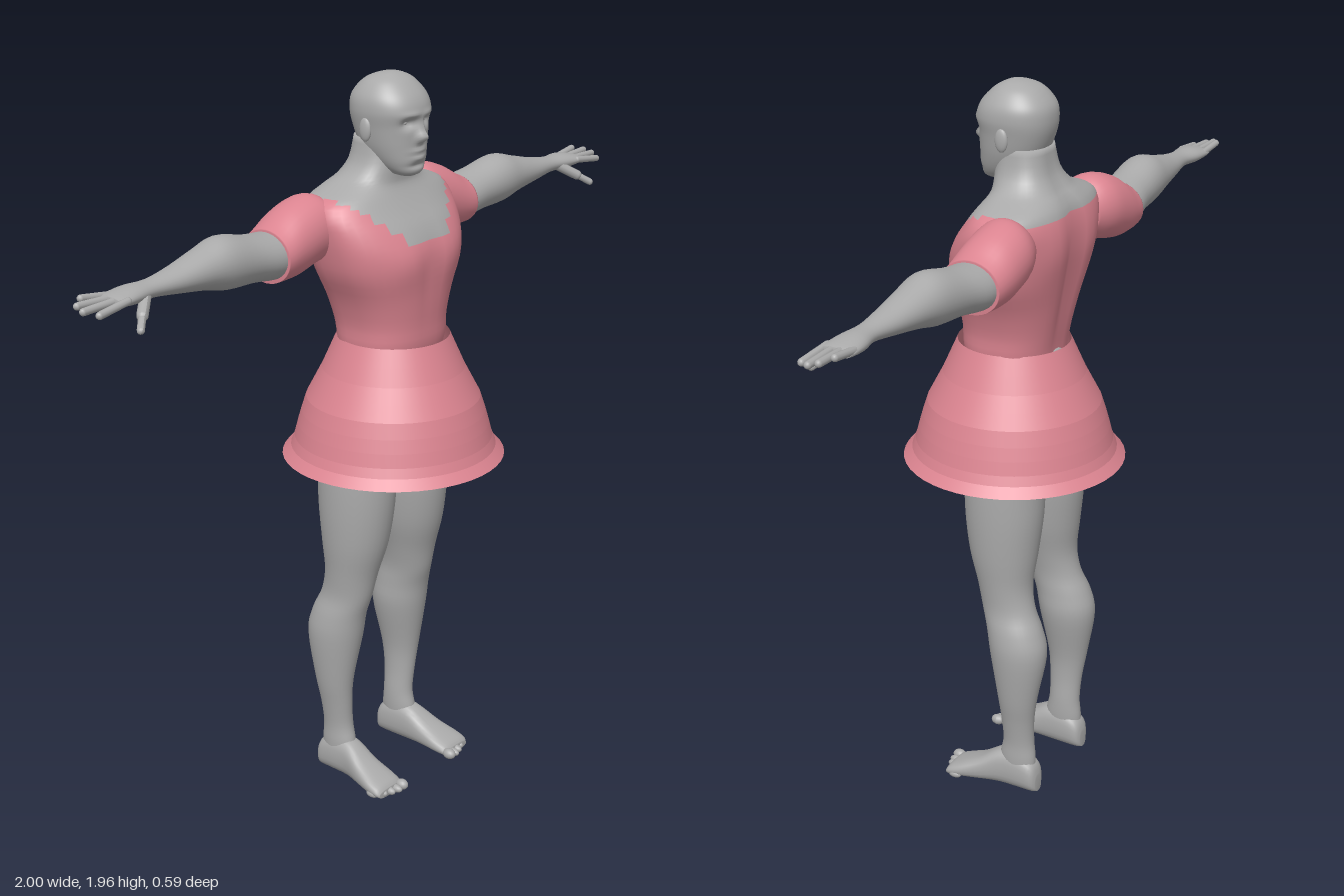
import * as THREE from 'three';

const skin = new THREE.MeshStandardMaterial({ color: 0xaaaaaa });
skin.name = 'grey skin';
const cloth = new THREE.MeshStandardMaterial({ color: 0xdb8490, side: THREE.DoubleSide });
cloth.name = 'pink cloth';

const bump = (dx, dy, wx, wy) => Math.exp(-((dx / wx) ** 2) - (dy / wy) ** 2);
const power = (v, p) => Math.sign(v) * Math.abs(v) ** p;

// Smooth interpolation through a list of section rows
function sampleRow(rows, t) {
  const f = t * (rows.length - 1), i = Math.min(Math.floor(f), rows.length - 2), k = f - i;
  const a = rows[Math.max(i - 1, 0)], b = rows[i], c = rows[i + 1], d = rows[Math.min(i + 2, rows.length - 1)];
  return b.map((v, n) => v + 0.5 * k * (c[n] - a[n] + k * (2 * a[n] - 5 * v + 4 * c[n] - d[n] + k * (3 * (v - c[n]) + d[n] - a[n]))));
}

// Closed skin over cross-sections; place(row, cos, sin) returns a point
function loft(rows, place, nu = 32, perRow = 4) {
  const nv = (rows.length - 1) * perRow, pos = [], index = [];
  for (let j = 0; j <= nv; j++) {
    const row = sampleRow(rows, j / nv);
    for (let i = 0; i < nu; i++) {
      const a = (i / nu) * Math.PI * 2;
      pos.push(...place(row, Math.cos(a), Math.sin(a)));
    }
  }
  for (let j = 0; j < nv; j++) for (let i = 0; i < nu; i++) {
    const a = j * nu + i, b = j * nu + (i + 1) % nu;
    index.push(a, a + nu, b, b, a + nu, b + nu);
  }
  for (const [start, top] of [[0, false], [nv * nu, true]]) {
    const mid = [0, 0, 0], m = pos.length / 3;
    for (let i = 0; i < nu * 3; i++) mid[i % 3] += pos[start * 3 + i] / nu;
    pos.push(...mid);
    for (let i = 0; i < nu; i++) {
      const a = start + i, b = start + (i + 1) % nu;
      index.push(...(top ? [a, m, b] : [a, b, m]));
    }
  }
  // Turn the faces outward
  let volume = 0;
  const p = n => new THREE.Vector3().fromArray(pos, n * 3);
  for (let i = 0; i < index.length; i += 3) volume += p(index[i]).dot(p(index[i + 1]).cross(p(index[i + 2])));
  const g = new THREE.BufferGeometry();
  g.setAttribute('position', new THREE.Float32BufferAttribute(pos, 3));
  g.setIndex(volume < 0 ? index.reverse() : index);
  g.computeVertexNormals();
  return g;
}

function mirrored(geometry) {
  const g = geometry.clone().scale(-1, 1, 1);
  g.setIndex(Array.from(g.index.array).reverse());
  g.computeVertexNormals();
  return g;
}

// Rounded rod from a to b
function rod(a, b, r) {
  const s = new THREE.Vector3(...a), e = new THREE.Vector3(...b), d = e.clone().sub(s);
  const q = new THREE.Quaternion().setFromUnitVectors(new THREE.Vector3(0, 1, 0), d.clone().normalize());
  return new THREE.CapsuleGeometry(r, d.length(), 5, 10).applyQuaternion(q).translate(...s.add(e).multiplyScalar(0.5).toArray());
}

const ball = (x, y, z, rx, ry, rz) => new THREE.SphereGeometry(1, 16, 12).scale(rx, ry, rz).translate(x, y, z);

export function createModel() {
  const model = new THREE.Group();
  const add = (name, geometry, material) => {
    const m = new THREE.Mesh(geometry, material);
    m.name = name;
    model.add(m);
  };
  const addPair = (name, geometry, material) => {
    add('left' + name, geometry, material);
    add('right' + name, mirrored(geometry), material);
  };

  // Torso rows: y, half width, front z, back z
  const torso = loft([
    [1.24, 0.138, 0.11, -0.125], [1.28, 0.145, 0.118, -0.13], [1.33, 0.148, 0.12, -0.14],
    [1.40, 0.17, 0.127, -0.155], [1.47, 0.205, 0.133, -0.17], [1.53, 0.222, 0.128, -0.18],
    [1.58, 0.232, 0.105, -0.182], [1.62, 0.235, 0.075, -0.178], [1.655, 0.215, 0.05, -0.168],
    [1.68, 0.155, 0.036, -0.152], [1.70, 0.115, 0.034, -0.135], [1.74, 0.086, 0.036, -0.112],
    [1.80, 0.076, 0.03, -0.098],
  ], ([y, w, f, b], c, s) => {
    const x = w * power(c, 0.85);
    let z = (f + b) / 2 + ((f - b) / 2) * power(s, 0.8);
    if (s > 0) z += s * (0.008 * bump(Math.abs(x) - 0.09, y - 1.5, 0.06, 0.05) - 0.008 * bump(x, y - 1.48, 0.02, 0.1));
    else z -= s * (0.02 * bump(x, y - 1.5, 0.03, 0.2) - 0.006 * bump(Math.abs(x) - 0.1, y - 1.56, 0.05, 0.07));
    return [x, y, z];
  }, 40, 3);
  // Stepped neckline: whole faces below it are cloth, the rest skin
  const p = torso.attributes.position, idx = Array.from(torso.index.array), below = [], above = [];
  for (let i = 0; i < idx.length; i += 6) {
    const face = idx.slice(i, i + 6);
    const mean = k => face.reduce((t, v) => t + p.array[v * 3 + k], 0) / 6;
    const x = Math.abs(mean(0)), edge = mean(2) > -0.06 ? 1.54 + Math.max(0, x - 0.06) * 0.9 : 1.645;
    (mean(1) < edge ? below : above).push(...face);
  }
  torso.setIndex([...below, ...above]);
  torso.addGroup(0, below.length, 0);
  torso.addGroup(below.length, above.length, 1);
  add('bodiceAndNeck', torso, [cloth, skin]);

  // Skirt: banded flare, open at the bottom
  const flare = [[0.295, 0.95], [0.272, 0.975], [0.262, 1.0], [0.253, 1.035], [0.243, 1.07], [0.23, 1.11],
    [0.209, 1.15], [0.188, 1.19], [0.168, 1.235], [0.148, 1.28]].map(q => new THREE.Vector2(...q));
  for (let i = 0; i < flare.length - 1; i++) add('skirtBand' + (i + 1), new THREE.LatheGeometry([flare[i], flare[i + 1]], 48), cloth);

  // Hips: y, half width, front z, back z
  add('hips', loft([[0.94, 0.05, 0.04, -0.08], [0.98, 0.13, 0.075, -0.12], [1.05, 0.17, 0.09, -0.145],
    [1.15, 0.165, 0.1, -0.145], [1.27, 0.138, 0.11, -0.125]],
  ([y, w, f, b], c, s) => [w * c, y, (f + b) / 2 + (f - b) / 2 * s]), skin);

  // Legs: y, inner x, outer x, front z, back z
  addPair('Leg', loft([
    [0.06, 0.1, 0.163, -0.035, -0.14], [0.1, 0.096, 0.165, -0.035, -0.14], [0.15, 0.096, 0.165, -0.045, -0.135],
    [0.22, 0.1, 0.175, -0.043, -0.138], [0.3, 0.095, 0.19, -0.035, -0.15], [0.43, 0.068, 0.205, -0.012, -0.172],
    [0.5, 0.068, 0.2, 0, -0.158], [0.56, 0.068, 0.187, 0.018, -0.132], [0.63, 0.055, 0.19, 0.033, -0.12],
    [0.72, 0.032, 0.2, 0.058, -0.13], [0.83, 0.016, 0.206, 0.073, -0.142], [0.95, 0.008, 0.205, 0.077, -0.147],
    [1.05, 0.004, 0.195, 0.08, -0.165], [1.13, 0.02, 0.165, 0.06, -0.14],
  ], ([y, a, b, f, k], c, s) => [(a + b) / 2 + (b - a) / 2 * c, y, (f + k) / 2 + (f - k) / 2 * s]), skin);

  // Feet: z, centre x, half width, height
  addPair('Foot', loft([
    [-0.152, 0.13, 0.016, 0.05], [-0.14, 0.13, 0.032, 0.085], [-0.1, 0.13, 0.037, 0.11], [-0.04, 0.132, 0.038, 0.108],
    [0.02, 0.14, 0.046, 0.072], [0.07, 0.145, 0.053, 0.048], [0.1, 0.147, 0.052, 0.034], [0.112, 0.147, 0.045, 0.022],
  ], ([z, x, w, h], c, s) => [x + w * power(c, 0.8), h / 2 + h / 2 * power(s, 0.8), z], 24), skin);
  for (let i = 0; i < 5; i++) {
    const r = i ? 0.011 : 0.015;
    addPair('Toe' + (i + 1), ball(0.106 + i * 0.021, r, 0.118 - i * i * 0.0022, r, r, 0.02), skin);
  }

  // Sleeves and arms: x, centre y, centre z, half height, half depth
  const alongX = ([x, y, z, h, d], c, s) => [x, y + h * s, z + d * c];
  addPair('Sleeve', loft([
    [0.16, 1.585, -0.09, 0.06, 0.065], [0.2, 1.588, -0.095, 0.083, 0.08], [0.24, 1.584, -0.1, 0.089, 0.085],
    [0.3, 1.567, -0.1, 0.087, 0.086], [0.35, 1.552, -0.097, 0.073, 0.084], [0.375, 1.547, -0.095, 0.067, 0.081],
  ], alongX), cloth);
  addPair('Arm', loft([
    [0.3, 1.55, -0.095, 0.06, 0.07], [0.375, 1.55, -0.095, 0.06, 0.075], [0.45, 1.56, -0.09, 0.06, 0.067],
    [0.54, 1.572, -0.085, 0.067, 0.065], [0.61, 1.572, -0.083, 0.051, 0.056], [0.7, 1.568, -0.08, 0.033, 0.042],
    [0.78, 1.567, -0.078, 0.022, 0.03], [0.84, 1.566, -0.08, 0.022, 0.04], [0.885, 1.565, -0.079, 0.016, 0.044],
    [0.905, 1.564, -0.078, 0.011, 0.042],
  ], alongX), skin);
  [[0.955, -0.115], [0.985, -0.094], [0.99, -0.069], [0.97, -0.038]].forEach(([x, z], i) =>
    addPair('Finger' + (i + 1), rod([0.88, 1.567, -0.112 + i * 0.023], [x, 1.577 - i * 0.007, z], 0.0095), skin));
  addPair('ThumbBase', rod([0.81, 1.56, -0.06], [0.855, 1.53, -0.025], 0.014), skin);
  addPair('ThumbTip', rod([0.855, 1.53, -0.025], [0.885, 1.508, 0], 0.0095), skin);

  // Head: y, half width, front z, back z, with the face modelled by bumps
  add('head', loft([
    [1.705, 0.02, 0.065, 0.02], [1.715, 0.042, 0.08, -0.01], [1.74, 0.062, 0.085, -0.05], [1.78, 0.078, 0.085, -0.085],
    [1.83, 0.088, 0.087, -0.106], [1.87, 0.094, 0.092, -0.112], [1.905, 0.088, 0.079, -0.105],
    [1.938, 0.064, 0.048, -0.076], [1.954, 0.034, 0.02, -0.042], [1.96, 0.004, 0, -0.008],
  ], ([y, w, f, b], c, s) => {
    const x = w * power(c, 0.9);
    let z = (f + b) / 2 + (f - b) / 2 * power(s, 0.9);
    if (s > 0) {
      z -= 0.016 * bump(Math.abs(x) - 0.034, y - 1.843, 0.018, 0.013) + 0.007 * bump(x, y - 1.734, 0.03, 0.007);
      z += 0.024 * bump(x, y - 1.806, 0.013, 0.014) + 0.012 * bump(x, y - 1.828, 0.01, 0.02);
      z += 0.005 * bump(Math.abs(x) - 0.03, y - 1.863, 0.025, 0.008);
      z += 0.007 * (bump(x, y - 1.772, 0.025, 0.006) + bump(x, y - 1.754, 0.022, 0.007));
    }
    return [x, y, z];
  }, 72, 8), skin);
  addPair('Eye', ball(0.034, 1.843, 0.058, 0.014, 0.009, 0.012), skin);
  addPair('Ear', ball(0.091, 1.825, -0.015, 0.009, 0.03, 0.018).rotateX(0), skin);

  return model;
}
